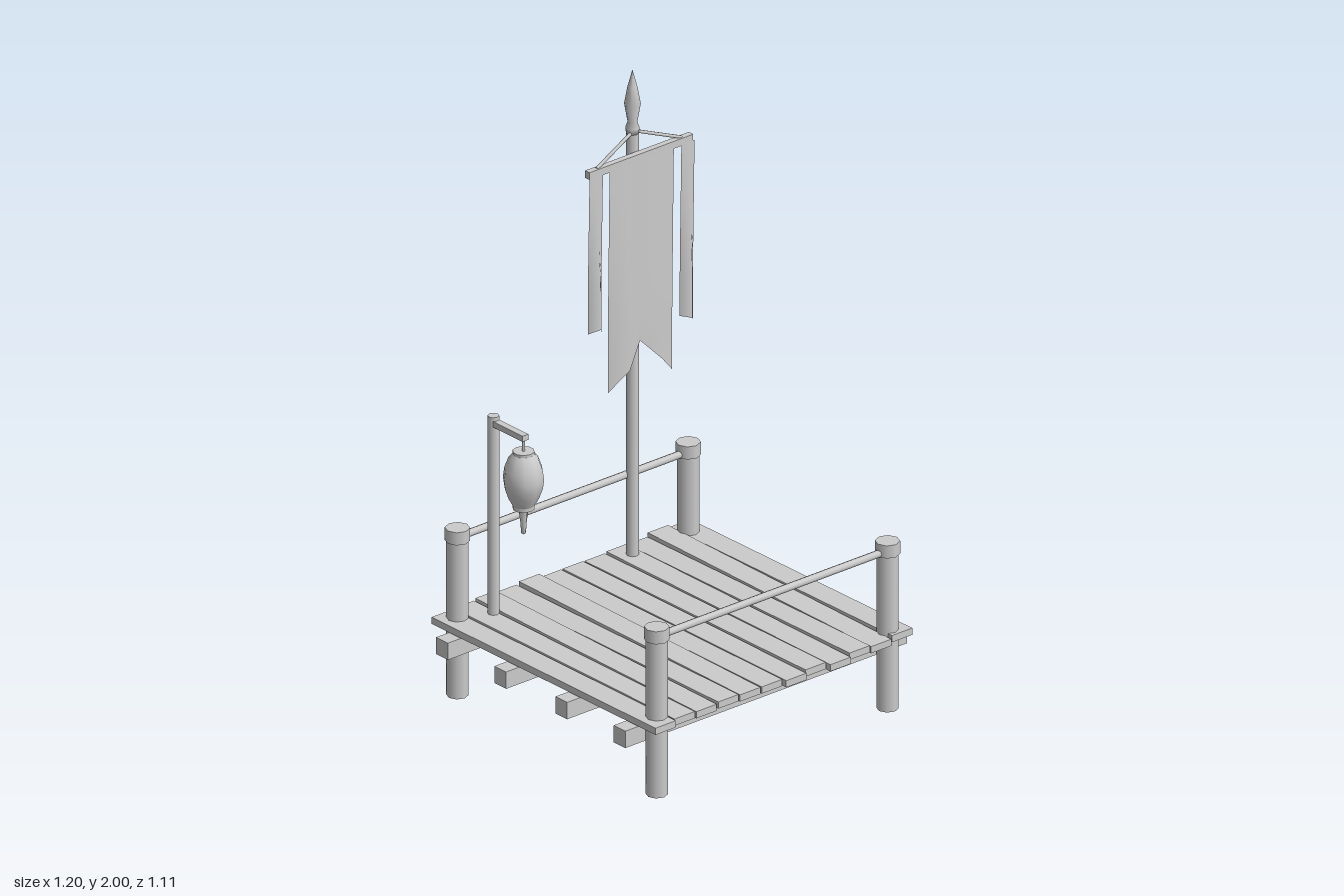
import * as THREE from 'three';

const mat = new THREE.MeshStandardMaterial({ color: 0xcccccc });
const clothMat = new THREE.MeshStandardMaterial({ color: 0xcccccc, side: THREE.DoubleSide });

export function createModel() {
  const model = new THREE.Group();
  const v = (x, y, z) => new THREE.Vector3(x, y, z);

  function add(name, geometry, x = 0, y = 0, z = 0, material = mat) {
    const mesh = new THREE.Mesh(geometry, material);
    mesh.name = name;
    mesh.position.set(x, y, z);
    model.add(mesh);
    return mesh;
  }
  const box = (name, w, h, d, x, y, z) => add(name, new THREE.BoxGeometry(w, h, d), x, y, z);

  // Round bar between two points
  function rod(name, a, b, r, sides = 8) {
    const dir = b.clone().sub(a);
    const mid = a.clone().add(b).multiplyScalar(0.5);
    const mesh = add(name, new THREE.CylinderGeometry(r, r, dir.length(), sides), mid.x, mid.y, mid.z);
    mesh.quaternion.setFromUnitVectors(v(0, 1, 0), dir.normalize());
    return mesh;
  }
  const lathe = (name, pts, sides, x, y, z) =>
    add(name, new THREE.LatheGeometry(pts.map(([r, h]) => new THREE.Vector2(r, h)), sides), x, y, z);

  // Corner posts with caps, and the front and back rails
  for (const z of [-0.489, 0.489]) {
    for (const x of [-0.49, 0.49]) {
      rod('cornerPost', v(x, 0, z), v(x, 0.56, z), 0.036);
      rod('postCap', v(x, 0.55, z), v(x, 0.595, z), 0.041);
    }
    rod('rail', v(-0.48, 0.56, z), v(0.48, 0.56, z), 0.013);
  }

  // Support beams
  for (const z of [-0.44, -0.155, 0.145, 0.43]) box('beam', 1.195, 0.06, 0.058, 0, 0.215, z);

  // Deck planks: [back end, front end, height, tilt]
  const planks = [
    [-0.545, 0.553, 0.263, 0], [-0.545, 0.54, 0.264, 0.003],
    [-0.545, 0.54, 0.266, 0.012], [-0.55, 0.54, 0.264, -0.002],
    [-0.545, 0.54, 0.268, 0.012], [-0.545, 0.54, 0.261, 0],
    [-0.545, 0.552, 0.26, 0.003], [-0.545, 0.54, 0.262, -0.003],
    [-0.545, 0.555, 0.262, 0.006], [-0.55, 0.542, 0.263, -0.006],
    [-0.556, 0.54, 0.265, 0.01], [-0.553, 0.536, 0.266, -0.005],
  ];
  planks.forEach(([back, front, y, tilt], i) => {
    const plank = box('plank', 0.086, 0.024, front - back, -0.508 + i * 0.0927, y, (front + back) / 2);
    plank.rotation.x = tilt;
  });

  // Banner pole and spear finial
  const px = 0.242, pz = -0.476;
  rod('bannerPole', v(px, 0.26, pz), v(px, 1.79, pz), 0.021);
  lathe('finial', [[0, 1.77], [0.021, 1.775], [0.023, 1.795], [0.016, 1.815], [0.027, 1.88], [0.016, 1.94], [0, 2]],
    8, px, 0, pz);

  // Crossbar with its two ropes
  box('crossbar', 0.44, 0.026, 0.022, px, 1.704, -0.443);
  for (const s of [-1, 1]) rod('bannerRope', v(px + s * 0.18, 1.715, -0.443), v(px, 1.785, -0.47), 0.006, 6);

  // Hanging cloth whose folds deepen downward; one bottom height per column
  function cloth(name, x0, x1, bottoms) {
    const rows = 8, n = bottoms.length, pos = [], index = [];
    for (let r = 0; r <= rows; r++) {
      bottoms.forEach((bottom, c) => {
        const t = r / rows;
        const fold = c % 2 ? 0.022 : -0.008;
        pos.push(x0 + (x1 - x0) * c / (n - 1), 1.697 + (bottom - 1.697) * t, -0.43 + fold * Math.min(1, t * 1.4));
        if (r < rows && c < n - 1) {
          const a = r * n + c, b = a + n;
          index.push(a, b, a + 1, b, b + 1, a + 1);
        }
      });
    }
    const geo = new THREE.BufferGeometry();
    geo.setAttribute('position', new THREE.Float32BufferAttribute(pos, 3));
    geo.setIndex(index);
    geo.computeVertexNormals();
    add(name, geo, 0, 0, 0, clothMat);
  }
  cloth('banner', 0.105, 0.378, [0.905, 0.975, 1.05, 0.975, 0.905]);
  cloth('rightStreamer', 0.02, 0.077, [1.14, 1.158, 1.13]);
  cloth('leftStreamer', 0.41, 0.466, [1.085, 1.08, 1.058]);

  // Lantern post, arm and hanger
  const lx = -0.384, lz = -0.287;
  rod('lanternPost', v(lx, 0.26, -0.435), v(lx, 0.98, -0.435), 0.019);
  box('lanternArm', 0.025, 0.02, 0.165, lx, 0.956, -0.36);
  rod('lanternHanger', v(lx, 0.9, lz), v(lx, 0.95, lz), 0.005, 6);

  // Lantern body with end rims and tassel
  lathe('lantern', [[0.033, 0.71], [0.052, 0.745], [0.064, 0.78], [0.068, 0.81], [0.063, 0.845], [0.05, 0.88], [0.034, 0.9]],
    10, lx, 0, lz);
  rod('lanternTopRim', v(lx, 0.89, lz), v(lx, 0.907, lz), 0.036, 10);
  rod('lanternBottomRim', v(lx, 0.703, lz), v(lx, 0.718, lz), 0.036, 10);
  lathe('tassel', [[0, 0.61], [0.008, 0.615], [0.01, 0.65], [0.017, 0.705]], 6, lx, 0, lz);

  return model;
}
